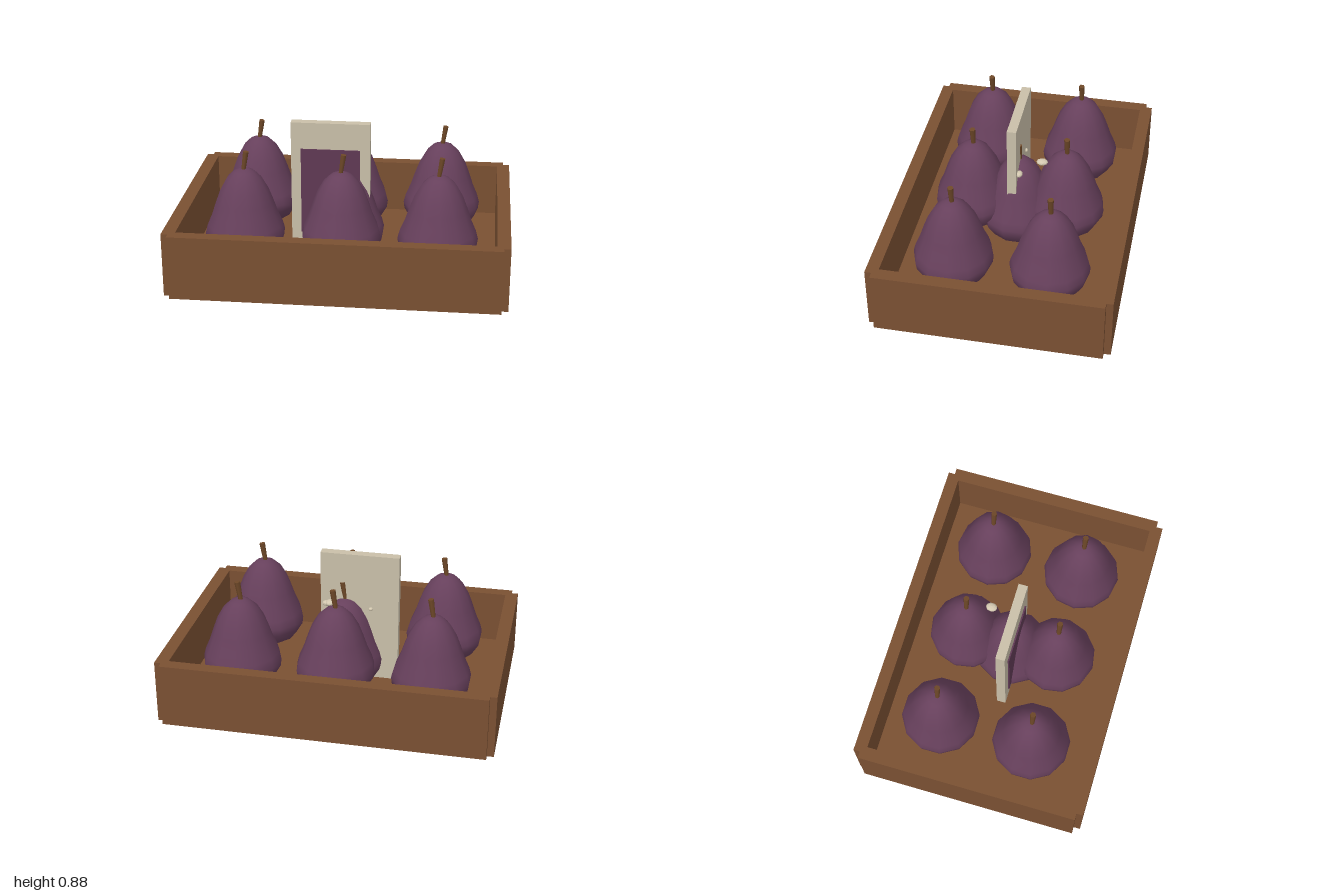
import * as THREE from 'three';

const mat = (name, color, extra = {}) => Object.assign(new THREE.MeshStandardMaterial({ color, ...extra }), { name });

export function createModel() {
  const wood = mat('crate wood', 0x7a5032);
  const purple = mat('pear skin', 0x67405c);
  const panelColor = mat('panel purple', 0x5f3954);
  const stemColor = mat('stem brown', 0x6e4828);
  const cream = mat('cream card', 0xc9bfa9);
  const beadColor = mat('bead cream', 0xd3c8b0, { flatShading: true });

  const model = new THREE.Group();
  model.name = 'pearCrate';

  const add = (parent, name, geometry, material, x, y, z) => {
    const mesh = new THREE.Mesh(geometry, material);
    mesh.name = name;
    mesh.position.set(x, y, z);
    parent.add(mesh);
    return mesh;
  };
  const box = (name, material, w, h, d, x, y, z) =>
    add(model, name, new THREE.BoxGeometry(w, h, d), material, x, y, z);

  // Open crate: the long and short walls leave a notch at each corner
  box('crateFloor', wood, 1.92, 0.06, 1.34, 0, 0.03, 0);
  for (const s of [-1, 1]) {
    box(s > 0 ? 'frontWall' : 'backWall', wood, 1.92, 0.39, 0.075, 0, 0.195, s * 0.6725);
    box(s > 0 ? 'leftWall' : 'rightWall', wood, 0.078, 0.39, 1.34, s * 0.961, 0.195, 0);
  }

  // Pears with leaning stems
  const profile = [
    [0, 0.085], [0.1, 0.1], [0.19, 0.155], [0.232, 0.225], [0.238, 0.27], [0.225, 0.32],
    [0.195, 0.39], [0.172, 0.46], [0.142, 0.54], [0.102, 0.61], [0.06, 0.65], [0.03, 0.662], [0, 0.664],
  ].map(([r, y]) => new THREE.Vector2(r, y));
  const pearGeometry = new THREE.LatheGeometry(profile, 12);
  const stemGeometry = new THREE.CylinderGeometry(0.018, 0.013, 0.13, 6);
  const addPear = (x, y, z, turn) => {
    const pear = new THREE.Group();
    pear.name = 'pear';
    pear.position.set(x, y, z);
    model.add(pear);
    add(pear, 'pearBody', pearGeometry, purple, 0, 0, 0).rotation.y = turn;
    add(pear, 'pearStem', stemGeometry, stemColor, 0.006, 0.708, 0).rotation.z = -0.15;
  };
  let turn = 0.1;
  for (const z of [-0.29, 0.285]) {
    for (const x of [-0.577, 0, 0.575]) addPear(x, 0, z, (turn += 0.17));
  }
  // Lower pear in the middle, passing through the card
  addPear(0, -0.08, 0, 0.26);

  // Upright card with its coloured panel
  box('card', cream, 0.48, 0.88, 0.056, -0.09, 0.44, 0.02);
  box('cardPanel', panelColor, 0.36, 0.54, 0.009, -0.09, 0.445, 0.0525);

  // Small beads behind the card
  const beadGeometry = new THREE.IcosahedronGeometry(1, 1);
  for (const [x, y, z, rx, ry, rz] of [
    [0.06, 0.622, -0.15, 0.028, 0.018, 0.035],
    [0.11, 0.55, -0.02, 0.028, 0.018, 0.02],
    [-0.16, 0.53, -0.01, 0.014, 0.012, 0.012],
  ]) add(model, 'bead', beadGeometry, beadColor, x, y, z).scale.set(rx, ry, rz);

  return model;
}
